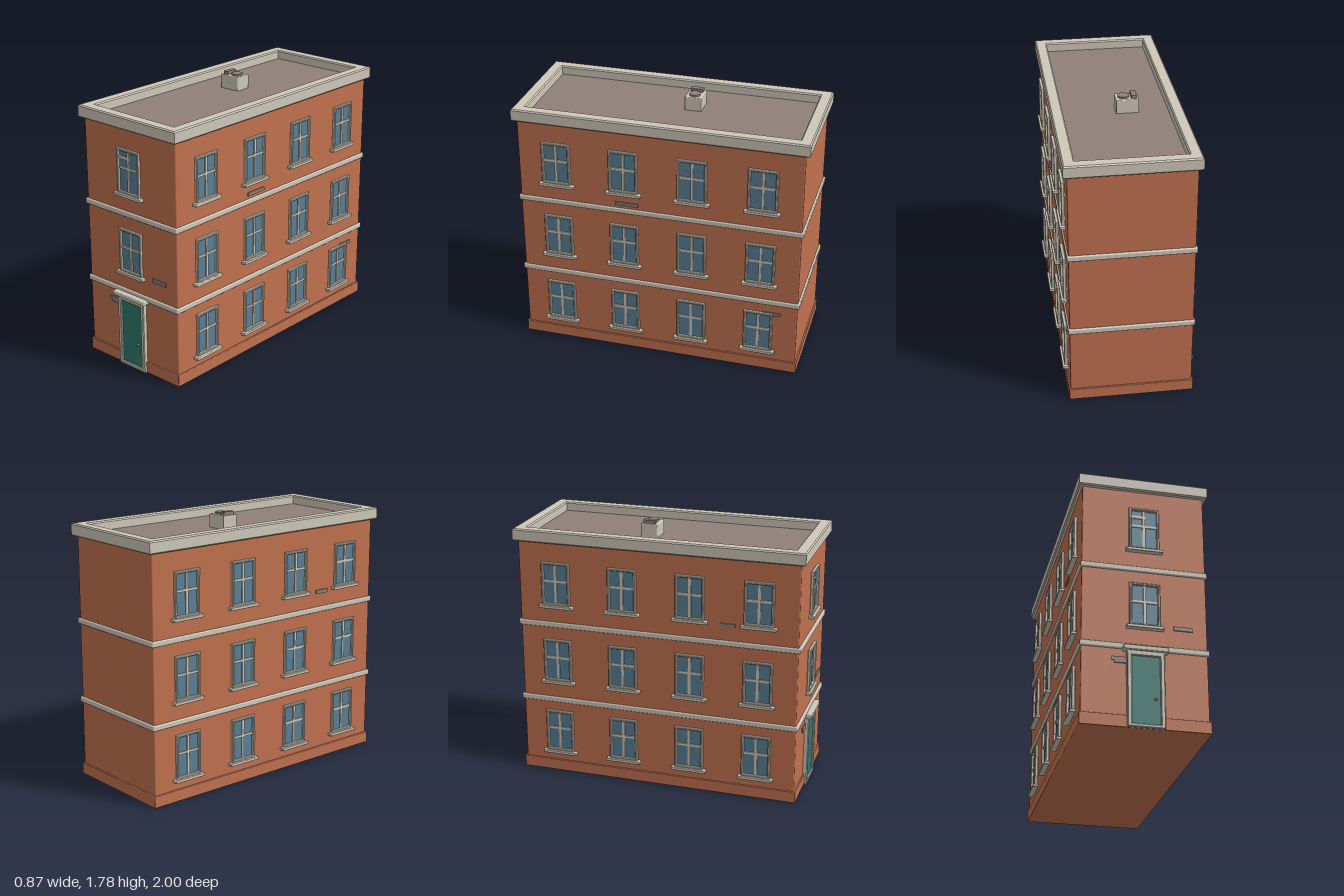
import * as THREE from 'three';
import { RoundedBoxGeometry } from 'three/addons/geometries/RoundedBoxGeometry.js';

const mat = (name, color) => {
  const m = new THREE.MeshStandardMaterial({ color });
  m.name = name;
  return m;
};

export function createModel() {
  const brick = mat('brick', 0xc1714f);
  const stone = mat('stone', 0xcfc8ba);
  const glass = mat('glass', 0x5a8095);
  const green = mat('door green', 0x2f786e);
  const grey = mat('roof grey', 0x8f8078);
  const brass = mat('brass', 0xc08040);
  const house = new THREE.Group();
  house.name = 'townHouse';

  // Box given by its extents, with slightly softened edges when bevel > 0
  function box(parent, name, material, [x0, x1], [y0, y1], [z0, z1], bevel = 0) {
    const s = [x1 - x0, y1 - y0, z1 - z0];
    const geo = bevel ? new RoundedBoxGeometry(...s, 2, bevel) : new THREE.BoxGeometry(...s);
    const mesh = new THREE.Mesh(geo, material);
    mesh.name = name;
    mesh.position.set((x0 + x1) / 2, (y0 + y1) / 2, (z0 + z1) / 2);
    parent.add(mesh);
    return mesh;
  }

  // Rectangular shape centred on cx, cy
  function rect(w, h, cx = 0, cy = 0, Type = THREE.Shape) {
    const p = new Type();
    p.moveTo(cx - w / 2, cy - h / 2);
    p.lineTo(cx + w / 2, cy - h / 2);
    p.lineTo(cx + w / 2, cy + h / 2);
    p.lineTo(cx - w / 2, cy + h / 2);
    p.closePath();
    return p;
  }

  // Bevelled rectangular ring extruded along z, from 0 to depth
  function ring(w, h, inW, inH, depth, b) {
    const shape = rect(w - 2 * b, h - 2 * b);
    shape.holes.push(rect(inW + 2 * b, inH + 2 * b, 0, 0, THREE.Path));
    const geo = new THREE.ExtrudeGeometry(shape, {
      depth: depth - 2 * b, bevelEnabled: true, bevelSize: b, bevelThickness: b, bevelSegments: 1,
    });
    return geo.translate(0, 0, b);
  }

  // Walls, plinth and floor bands
  box(house, 'walls', brick, [-0.4, 0.4], [0.01, 1.665], [-0.967, 0.95], 0.008);
  box(house, 'plinth', brick, [-0.41, 0.41], [0, 0.08], [-0.978, 0.961], 0.005);
  for (const y of [0.515, 1.06]) {
    box(house, 'floorBand', stone, [-0.41, 0.41], [y, y + 0.038], [-0.98, 0.963], 0.008);
  }

  // Cornice ring around the sunken roof
  const cornice = new THREE.Mesh(ring(0.85, 1.977, 0.695, 1.82, 0.083, 0.008), stone);
  cornice.name = 'cornice';
  cornice.rotation.x = -Math.PI / 2;
  cornice.position.set(0, 1.648, -0.0085);
  house.add(cornice);
  box(house, 'roof', grey, [-0.36, 0.36], [1.66, 1.67], [-0.93, 0.91]);

  // Roof vent
  const vent = new THREE.Group();
  vent.name = 'roofVent';
  house.add(vent);
  box(vent, 'ventBox', stone, [-0.155, -0.005], [1.665, 1.762], [-0.19, -0.075], 0.006);
  box(vent, 'ventBar', grey, [-0.14, -0.106], [1.76, 1.785], [-0.175, -0.092]);
  const cap = new THREE.Mesh(new THREE.CylinderGeometry(0.038, 0.038, 0.014, 16), grey);
  cap.name = 'ventCap';
  cap.position.set(-0.058, 1.768, -0.133);
  vent.add(cap);

  // Window facing +z, with its sill's underside at y = 0
  const frameGeo = ring(0.197, 0.3, 0.165, 0.268, 0.022, 0.004);
  function addWindow(x, y, z, turn) {
    const win = new THREE.Group();
    win.name = 'window';
    win.position.set(x, y, z);
    win.rotation.y = turn;
    const frame = new THREE.Mesh(frameGeo, stone);
    frame.name = 'windowFrame';
    frame.position.y = 0.168;
    win.add(frame);
    box(win, 'windowPane', glass, [-0.09, 0.09], [0.03, 0.305], [-0.003, 0.005]);
    box(win, 'mullion', stone, [-0.009, 0.009], [0.03, 0.305], [0, 0.013]);
    box(win, 'crossBar', stone, [-0.085, 0.085], [0.181, 0.197], [0, 0.012]);
    box(win, 'sill', stone, [-0.12, 0.12], [0, 0.021], [-0.002, 0.036], 0.005);
    house.add(win);
    return win;
  }
  const sills = [0.135, 0.657, 1.2];
  for (const y of sills) {
    for (const z of [0.687, 0.225, -0.24, -0.705]) {
      for (const side of [1, -1]) addWindow(side * 0.4, y, z, side * Math.PI / 2);
    }
  }
  addWindow(0, sills[1], 0.95, 0);
  const topWindow = addWindow(0, sills[2], 0.95, 0);
  box(topWindow, 'blindSlat', stone, [-0.085, 0.012], [0.246, 0.266], [0.003, 0.012]);

  // Front door with surround, lintel and knob
  const door = new THREE.Group();
  door.name = 'frontDoor';
  house.add(door);
  const surround = new THREE.Mesh(ring(0.236, 0.49, 0.178, 0.445, 0.035, 0.005), stone);
  surround.name = 'doorSurround';
  surround.position.set(0, 0.247, 0.945);
  door.add(surround);
  box(door, 'doorPanel', green, [-0.095, 0.095], [0.02, 0.475], [0.945, 0.968]);
  box(door, 'lintel', stone, [-0.142, 0.142], [0.5, 0.53], [0.94, 1.0], 0.006);
  box(door, 'lintelNeck', stone, [-0.118, 0.118], [0.485, 0.503], [0.94, 0.98]);
  const knob = new THREE.Mesh(new THREE.SphereGeometry(0.009, 12, 8), brass);
  knob.name = 'doorKnob';
  knob.position.set(0.058, 0.19, 0.973);
  door.add(knob);

  // Loose grey bricks showing in the walls
  const front = [0.94, 0.958];
  box(house, 'wornBrick', grey, [0.185, 0.305], [0.672, 0.699], front);
  box(house, 'wornBrick', grey, [-0.21, -0.11], [0.435, 0.46], front);
  box(house, 'wornBrick', grey, [-0.195, -0.11], [0.42, 0.44], front);
  box(house, 'wornBrick', grey, [0.39, 0.408], [1.12, 1.143], [0.125, 0.285]);
  box(house, 'wornBrick', grey, [0.39, 0.408], [0.433, 0.457], [-0.85, -0.73]);
  box(house, 'wornBrick', grey, [-0.408, -0.39], [1.19, 1.215], [0.42, 0.53]);
  return house;
}
